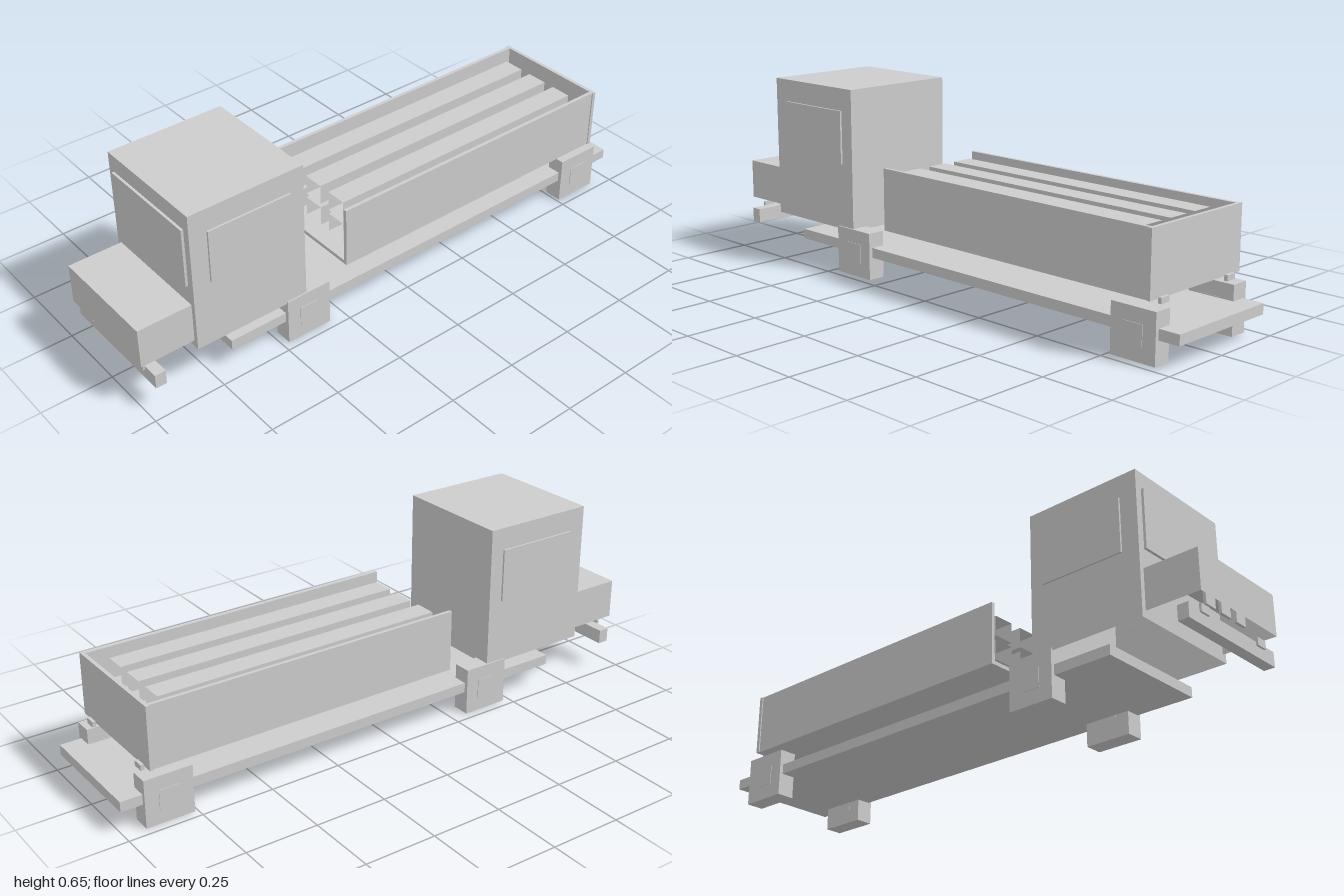
import * as THREE from 'three';

export function createModel() {
  const truck = new THREE.Group();
  truck.name = 'flatbedTruck';
  const grey = new THREE.MeshStandardMaterial({ color: 0xcccccc, side: THREE.DoubleSide });
  grey.name = 'plain grey';

  // Box given by its extents on each axis; open lists the sides left out
  const SIDES = ['+x', '-x', '+y', '-y', '+z', '-z'];
  const box = (name, [x0, x1], [y0, y1], [z0, z1], parent = truck, open = []) => {
    const geometry = new THREE.BoxGeometry(x1 - x0, y1 - y0, z1 - z0);
    const corners = Array.from(geometry.index.array);
    geometry.setIndex(corners.filter((_, i) => !open.includes(SIDES[Math.floor(i / 6)])));
    geometry.clearGroups();
    const mesh = new THREE.Mesh(geometry, grey);
    mesh.position.set((x0 + x1) / 2, (y0 + y1) / 2, (z0 + z1) / 2);
    mesh.name = name;
    parent.add(mesh);
  };
  // The same box on both sides of the truck
  const pair = (name, [x0, x1], y, z, parent = truck) => {
    box(name + 'Left', [x0, x1], y, z, parent);
    box(name + 'Right', [-x1, -x0], y, z, parent);
  };
  const group = (name) => {
    const g = new THREE.Group();
    g.name = name;
    truck.add(g);
    return g;
  };

  // Chassis plate
  box('chassis', [-0.207, 0.207], [0.078, 0.113], [-1, 0.685]);

  // Cab shell, open underneath
  const cab = group('cab');
  box('cabShell', [-0.215, 0.215], [0.156, 0.652], [0.399, 0.811], cab, ['-y']);
  box('windshield', [-0.189, 0.189], [0.387, 0.593], [0.811, 0.82], cab, ['-z']);
  pair('sideWindow', [0.214, 0.222], [0.387, 0.574], [0.45, 0.75], cab);

  // Hood shell, open underneath, with grille slats inside
  const hood = group('hood');
  box('hoodShell', [-0.198, 0.198], [0.18, 0.319], [0.811, 1], hood, ['-y', '-z']);
  for (const x of [-0.079, 0, 0.079])
    box('grilleSlat', [x - 0.024, x + 0.024], [0.19, 0.29], [0.945, 0.955], hood);

  // Bumper and lamps
  box('bumper', [-0.222, 0.222], [0.096, 0.146], [0.933, 0.971]);
  pair('headlamp', [0.125, 0.167], [0.133, 0.16], [0.97, 0.978]);
  pair('tailLamp', [0.142, 0.18], [0.176, 0.195], [-0.912, -0.9]);

  // Cargo bed, open at the front, with a slightly wider tailgate
  const bed = group('cargoBed');
  box('bedFloor', [-0.21, 0.21], [0.19, 0.203], [-0.9, 0.235], bed);
  pair('bedSide', [0.202, 0.215], [0.19, 0.405], [-0.888, 0.235], bed);
  box('tailgate', [-0.219, 0.219], [0.19, 0.405], [-0.901, -0.888], bed);

  // Hollow cargo beams in two stacked layers
  const cargo = group('cargo');
  for (const x of [-0.118, 0, 0.118])
    for (const y of [0.235, 0.32])
      box('beam', [x - 0.038, x + 0.038], [y, y + 0.07], [-0.83, 0.2], cargo, ['+z', '-z']);

  // Square wheels with hubs showing on both faces
  for (const [end, z] of [['front', 0.393], ['rear', -0.843]]) {
    pair(end + 'Wheel', [0.157, 0.22], [0, 0.165], [z - 0.083, z + 0.083]);
    pair(end + 'Hub', [0.156, 0.222], [0.049, 0.117], [z - 0.035, z + 0.035]);
  }
  return truck;
}
